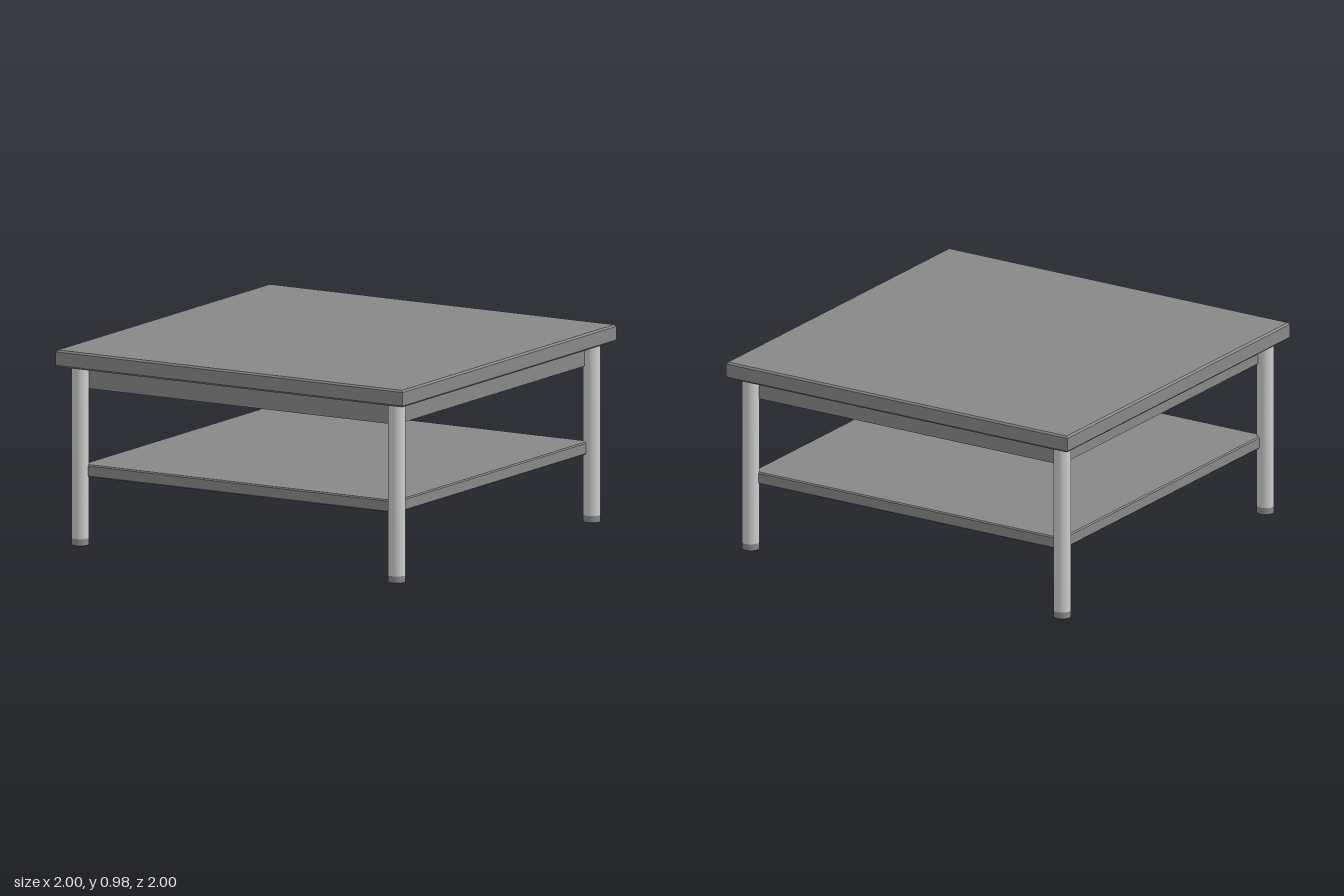
import * as THREE from 'three';
import { toCreasedNormals } from 'three/addons/utils/BufferGeometryUtils.js';

const boardMaterial = new THREE.MeshStandardMaterial({ name: 'grey board', color: 0x888888 });
const legMaterial = new THREE.MeshStandardMaterial({ name: 'light metal', color: 0xcccccc });

const LEG = 0.912; // leg centre offset
const R = 0.043; // leg radius
const FOOT = 0.037; // foot cap height
const UNDERSIDE = 0.895; // bottom of the table top

// Square slab with chamfered top and bottom edges
function slab(name, half, y0, y1, bevel) {
  const h = half - bevel;
  const shape = new THREE.Shape([
    new THREE.Vector2(-h, -h), new THREE.Vector2(h, -h),
    new THREE.Vector2(h, h), new THREE.Vector2(-h, h),
  ]);
  const geometry = new THREE.ExtrudeGeometry(shape, {
    depth: y1 - y0 - 2 * bevel,
    bevelEnabled: true, bevelSize: bevel, bevelThickness: bevel, bevelSegments: 1,
  });
  geometry.rotateX(-Math.PI / 2);
  const mesh = new THREE.Mesh(geometry, boardMaterial);
  mesh.name = name;
  mesh.position.y = y0 + bevel;
  return mesh;
}

// Turned part from a profile of [radius, height] pairs
function turned(name, profile, material) {
  const points = profile.map(([r, y]) => new THREE.Vector2(r, y));
  const geometry = toCreasedNormals(new THREE.LatheGeometry(points, 32), 0.6);
  const mesh = new THREE.Mesh(geometry, material);
  mesh.name = name;
  return mesh;
}

export function createModel() {
  const table = new THREE.Group();
  table.name = 'coffeeTable';

  table.add(slab('tableTop', 1, UNDERSIDE, 0.98, 0.009));
  table.add(slab('shelf', 0.905, 0.342, 0.404, 0.006));

  // Four apron boards under the top
  const apronBottom = 0.783, thickness = 0.034, outer = 0.895;
  const apronHeight = UNDERSIDE - apronBottom;
  for (let i = 0; i < 4; i++) {
    const side = new THREE.Group();
    side.name = 'apronSide';
    side.rotation.y = i * Math.PI / 2;
    const board = new THREE.Mesh(
      new THREE.BoxGeometry(2 * outer - 2 * thickness * (i % 2), apronHeight, thickness), boardMaterial);
    board.name = 'apron';
    board.position.set(0, apronBottom + apronHeight / 2, outer - thickness / 2);
    side.add(board);
    table.add(side);
  }

  // Tubular legs with a bore at the foot and dark foot caps
  for (const sx of [-1, 1]) {
    for (const sz of [-1, 1]) {
      const leg = new THREE.Group();
      leg.name = 'leg';
      leg.position.set(sx * LEG, 0, sz * LEG);
      leg.add(turned('legTube', [[R, FOOT], [R, UNDERSIDE]], legMaterial));
      leg.add(turned('legBore', [[0, 0.2], [0.028, 0.2], [0.028, 0]], legMaterial));
      leg.add(turned('footCap', [[0.028, 0], [R - 0.004, 0], [R, 0.004], [R, FOOT]], boardMaterial));
      table.add(leg);
    }
  }
  return table;
}
